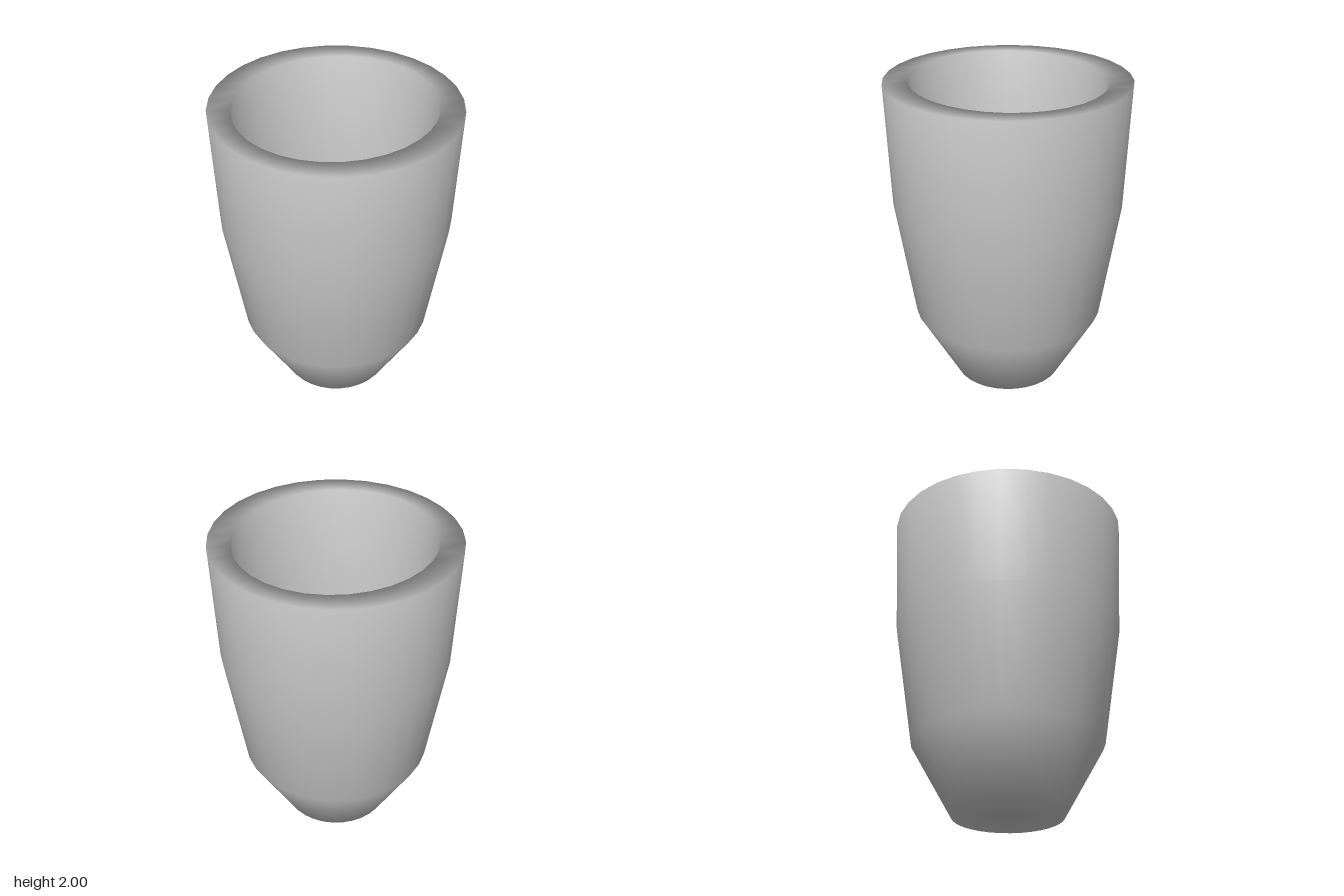
import * as THREE from 'three';
import { mergeVertices } from 'three/addons/utils/BufferGeometryUtils.js';

// Closed cross-section: underside, outer wall, rim, then down the inside
const OUTER = [[0, 0], [0.345, 0], [0.605, 0.46], [0.725, 1.23], [0.757, 2]];
const INNER = [[0.6, 2], [0.57, 1.25], [0.48, 0.52], [0.27, 0.14], [0, 0.14]];
const SIDES = 32;
const INNER_STRETCH = 1.045; // the opening is slightly oval along z

export function createModel() {
  const group = new THREE.Group();
  group.name = 'cup';

  const clay = new THREE.MeshStandardMaterial({ color: 0xc8c8c8 });
  clay.name = 'light grey';

  const profile = [...OUTER, ...INNER].map(([r, y]) => new THREE.Vector2(r, y));
  const lathe = new THREE.LatheGeometry(profile, SIDES);

  // Stretch the hollow into an oval
  const pos = lathe.attributes.position;
  for (let i = 0; i < pos.count; i++) {
    if (i % profile.length >= OUTER.length) pos.setZ(i, pos.getZ(i) * INNER_STRETCH);
  }

  // Weld the seam and shade the whole shell smoothly
  lathe.deleteAttribute('uv');
  lathe.deleteAttribute('normal');
  const shell = mergeVertices(lathe, 1e-4);
  shell.computeVertexNormals();

  const body = new THREE.Mesh(shell, clay);
  body.name = 'cupBody';
  group.add(body);
  return group;
}
